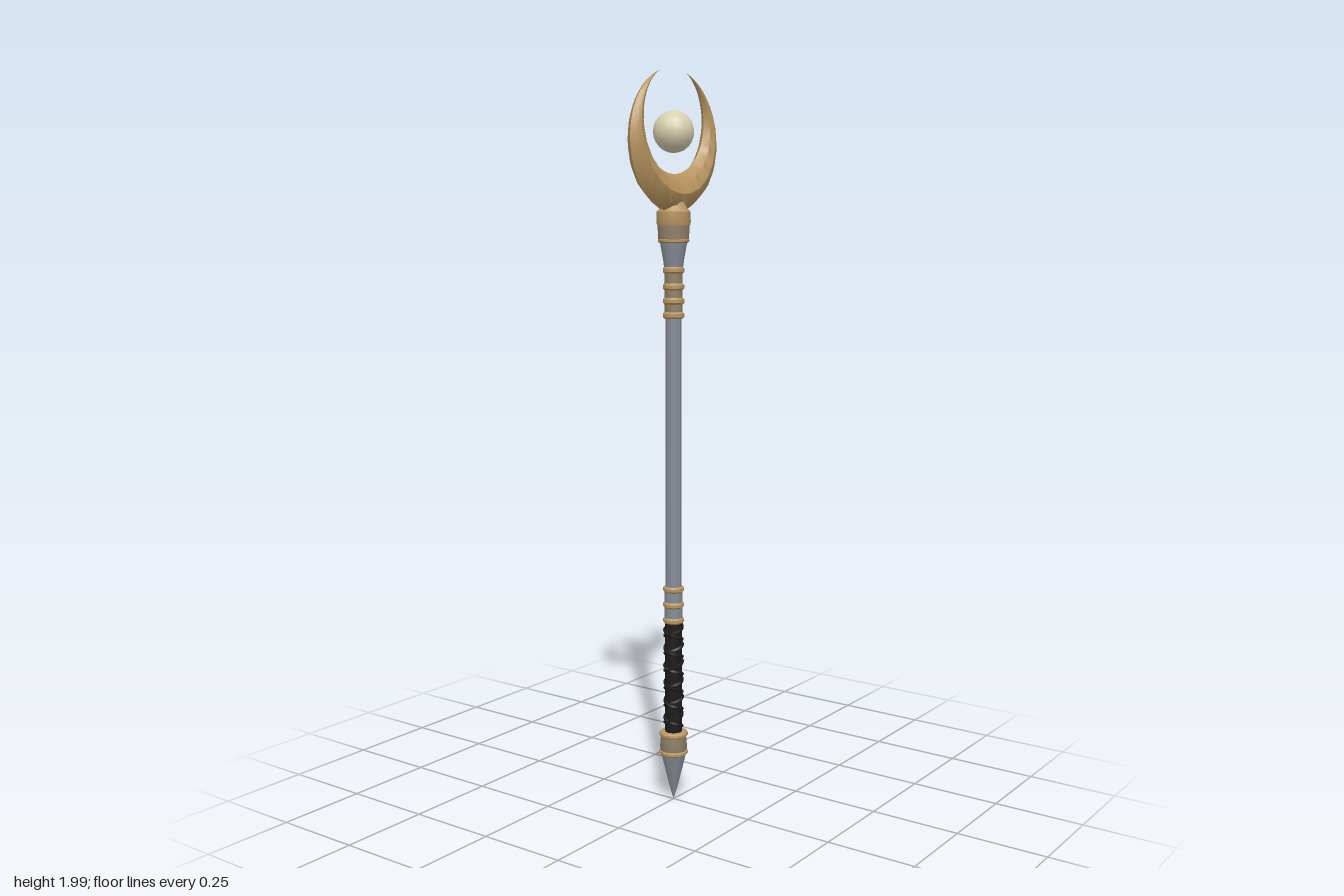
import * as THREE from 'three';
import { toCreasedNormals } from 'three/addons/utils/BufferGeometryUtils.js';

const mat = (name, color) => Object.assign(new THREE.MeshStandardMaterial({ color }), { name });

export function createModel() {
  const root = new THREE.Group();
  root.name = 'moonStaff';
  const gold = mat('agedGold', 0xb8955f);
  const bronze = mat('dullBronze', 0x8f8068);
  const steel = mat('steel', 0x868d96);
  const black = mat('blackLeather', 0x1b1b1c);
  const pearl = mat('pearl', 0xd8cfae);

  const add = (name, geo, material, parent = root) => {
    const mesh = new THREE.Mesh(geo, material);
    mesh.name = name;
    parent.add(mesh);
    return mesh;
  };
  // Turned part from [radius, height] pairs, listed bottom to top
  const turned = (name, pts, material, sides = 12) =>
    add(name, toCreasedNormals(
      new THREE.LatheGeometry(pts.map(([r, y]) => new THREE.Vector2(r, y)), sides), 0.6), material);
  // Rounded raised band
  const band = (name, y, r, h, material) => turned(name, [
    [0, y - h / 2], [r - 0.004, y - h / 2], [r, y - h / 4],
    [r, y + h / 4], [r - 0.004, y + h / 2], [0, y + h / 2]], material);

  // Pointed foot and its ferrule
  turned('footSpike', [[0, 0.005], [0.012, 0.045], [0.035, 0.14], [0, 0.14]], steel);
  turned('footFerrule', [[0.036, 0.145], [0.038, 0.16], [0.035, 0.195], [0, 0.2]], bronze);
  band('footLowerBand', 0.145, 0.040, 0.014, gold);
  band('footUpperBand', 0.198, 0.040, 0.014, gold);

  // Leather grip with crossing wraps
  turned('gripCore', [[0.024, 0.2], [0.024, 0.52]], black);
  for (const dir of [1, -1]) {
    const pts = [];
    for (let i = 0; i <= 80; i++) {
      const a = dir * i / 80 * Math.PI * 2 * 6;
      pts.push(new THREE.Vector3(0.0235 * Math.cos(a), 0.212 + 0.3 * i / 80, 0.0235 * Math.sin(a)));
    }
    add(dir > 0 ? 'gripWrapLeft' : 'gripWrapRight',
      new THREE.TubeGeometry(new THREE.CatmullRomCurve3(pts), 160, 0.0055, 5), black);
  }

  // Shaft
  turned('shaft', [[0.0225, 0.5], [0.0215, 1.38]], steel, 10);

  // Lower collar: three bands over a steel sleeve
  turned('lowerSleeve', [[0.025, 0.52], [0.025, 0.61]], steel);
  [0.524, 0.568, 0.612].forEach(y => band('lowerCollarBand', y, 0.029, 0.016, gold));

  // Upper collar: bands over a bronze sleeve
  turned('upperSleeve', [[0.024, 1.36], [0.024, 1.5]], bronze);
  [1.364, 1.402, 1.44, 1.484].forEach(y => band('upperCollarBand', y, 0.029, 0.018, gold));

  // Flared head socket
  turned('socketFlare', [[0.025, 1.488], [0.028, 1.51], [0.036, 1.555], [0.038, 1.57]], steel);
  turned('socketSleeve', [[0, 1.558], [0.041, 1.56], [0.043, 1.605], [0, 1.606]], bronze);
  band('socketBand', 1.562, 0.042, 0.012, gold);
  turned('socketCap', [[0, 1.6], [0.044, 1.601], [0.046, 1.61], [0.045, 1.638],
    [0.036, 1.648], [0.026, 1.668], [0, 1.67]], gold);

  // Crescent: tapering faceted sections between an outer and an inner circle
  const steps = 48, pos = [], idx = [], n = 8;
  for (let i = 0; i <= steps; i++) {
    const t = i / steps * 2 - 1;
    const ao = t * 2.815, ai = t * 2.697;
    const outer = [0.187 * Math.sin(ao), 1.822 - 0.187 * Math.cos(ao)];
    const inner = [0.138 * Math.sin(ai), 1.874 - 0.138 * Math.cos(ai)];
    // Slight hammered unevenness that fades at the horn tips
    const wobble = 1 + 0.06 * Math.sin(i * 2.3) * (1 - Math.abs(t));
    const h = 0.036 * (1 - Math.abs(t) ** 1.5) * wobble;
    const section = [[0, 0], [0.2, 0.72], [0.48, 1], [0.8, 0.7],
      [1, 0], [0.8, -0.7], [0.48, -1], [0.2, -0.72]];
    for (const [k, z] of section) pos.push(
      outer[0] + (inner[0] - outer[0]) * k, outer[1] + (inner[1] - outer[1]) * k, z * h);
  }
  for (let i = 0; i < steps; i++) for (let j = 0; j < n; j++) {
    const a = i * n + j, b = i * n + (j + 1) % n;
    idx.push(a, a + n, b, b, a + n, b + n);
  }
  const moon = new THREE.BufferGeometry();
  moon.setAttribute('position', new THREE.Float32BufferAttribute(pos, 3));
  moon.setIndex(idx);
  add('crescent', toCreasedNormals(moon, 0.6), gold);

  // Floating orb
  add('orb', new THREE.SphereGeometry(0.055, 16, 12), pearl).position.y = 1.845;

  return root;
}
